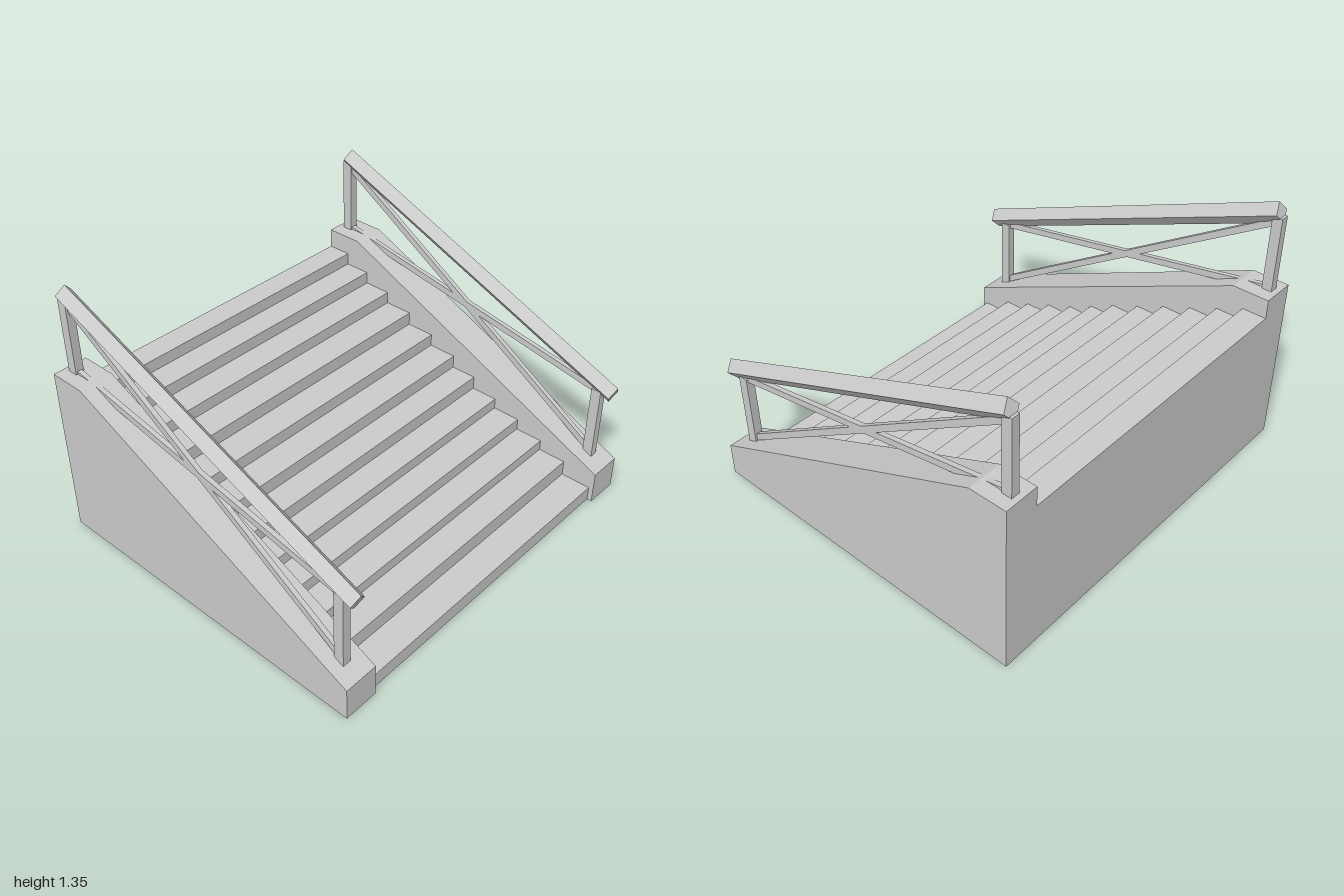
import * as THREE from 'three';

const solid = new THREE.MeshStandardMaterial({ color: 0xcccccc, flatShading: true });
const sheet = new THREE.MeshStandardMaterial({ color: 0xcccccc, flatShading: true, side: THREE.DoubleSide });

function add(parent, name, geometry, material = solid) {
  const mesh = new THREE.Mesh(geometry, material);
  mesh.name = name;
  parent.add(mesh);
  return mesh;
}

// Open sheet: an x-y profile swept straight along z
function sweep(points, z0, z1) {
  const pos = [];
  for (let i = 0; i < points.length - 1; i++) {
    const [ax, ay] = points[i], [bx, by] = points[i + 1];
    pos.push(ax, ay, z1, ax, ay, z0, bx, by, z0);
    pos.push(ax, ay, z1, bx, by, z0, bx, by, z1);
  }
  const g = new THREE.BufferGeometry();
  g.setAttribute('position', new THREE.Float32BufferAttribute(pos, 3));
  g.computeVertexNormals();
  return g;
}

// Straight bar between two x-y points at depth z; a box, or a diamond section
function bar(parent, name, a, b, z, height, depth, diamond = false) {
  const length = Math.hypot(b[0] - a[0], b[1] - a[1]);
  let g;
  if (diamond) {
    g = new THREE.CylinderGeometry(1, 1, length, 4).rotateZ(Math.PI / 2);
    g.scale(1, height / 2, depth / 2);
  } else {
    g = new THREE.BoxGeometry(length, height, depth);
  }
  const mesh = add(parent, name, g);
  mesh.position.set((a[0] + b[0]) / 2, (a[1] + b[1]) / 2, z);
  mesh.rotation.z = Math.atan2(b[1] - a[1], b[0] - a[0]);
}

function post(parent, name, x, bottom, top, z) {
  add(parent, name, new THREE.BoxGeometry(0.052, top - bottom, 0.043))
    .position.set(x, (bottom + top) / 2, z);
}

export function createModel() {
  const model = new THREE.Group();
  model.name = 'staircase';

  // Steps, open underneath, with the back panel
  const risers = [0.865, 0.706, 0.558, 0.41, 0.262, 0.119, -0.019, -0.172, -0.325, -0.479, -0.627, -0.765];
  const treads = [0.075, 0.155, 0.21, 0.27, 0.327, 0.396, 0.465, 0.53, 0.6, 0.663, 0.727, 0.79];
  const steps = [[risers[0], 0]];
  risers.forEach((x, i) => {
    if (i > 0) steps.push([x, treads[i - 1]]);
    steps.push([x, treads[i]]);
  });
  steps.push([-0.89, 0.79], [-0.89, 0]);
  add(model, 'steps', sweep(steps, -0.822, 0.822), sheet);

  const profile = [[0.89, 0], [0.89, 0.17], [-0.7, 0.89], [-0.89, 0.89], [-0.89, 0]];
  const outline = new THREE.Shape(profile.map(([x, y]) => new THREE.Vector2(x, y)));

  for (const s of [1, -1]) {
    const side = new THREE.Group();
    side.name = s > 0 ? 'frontSide' : 'backSide';
    model.add(side);

    // Hollow side wall, open at the bottom
    add(side, 'wallEdge', sweep(profile, Math.min(s, s * 0.822), Math.max(s, s * 0.822)), sheet);
    for (const z of [1, 0.822]) {
      const panel = add(side, z === 1 ? 'outerPanel' : 'innerPanel', new THREE.ShapeGeometry(outline), sheet);
      panel.position.z = s * z;
    }

    // Railing: two posts, a diamond handrail and crossed braces
    const z = s * 0.915;
    post(side, 'upperPost', -0.835, 0.8, 1.28, z);
    post(side, 'lowerPost', 0.787, 0.04, 0.6, z);
    bar(side, 'handrail', [-0.84, 1.3], [0.87, 0.602], z, 0.104, 0.086, true);
    bar(side, 'steepBrace', [-0.85, 1.265], [0.78, 0.238], z, 0.034, 0.024);
    bar(side, 'shallowBrace', [-0.82, 0.89], [0.8, 0.593], z, 0.034, 0.024);
  }
  return model;
}
